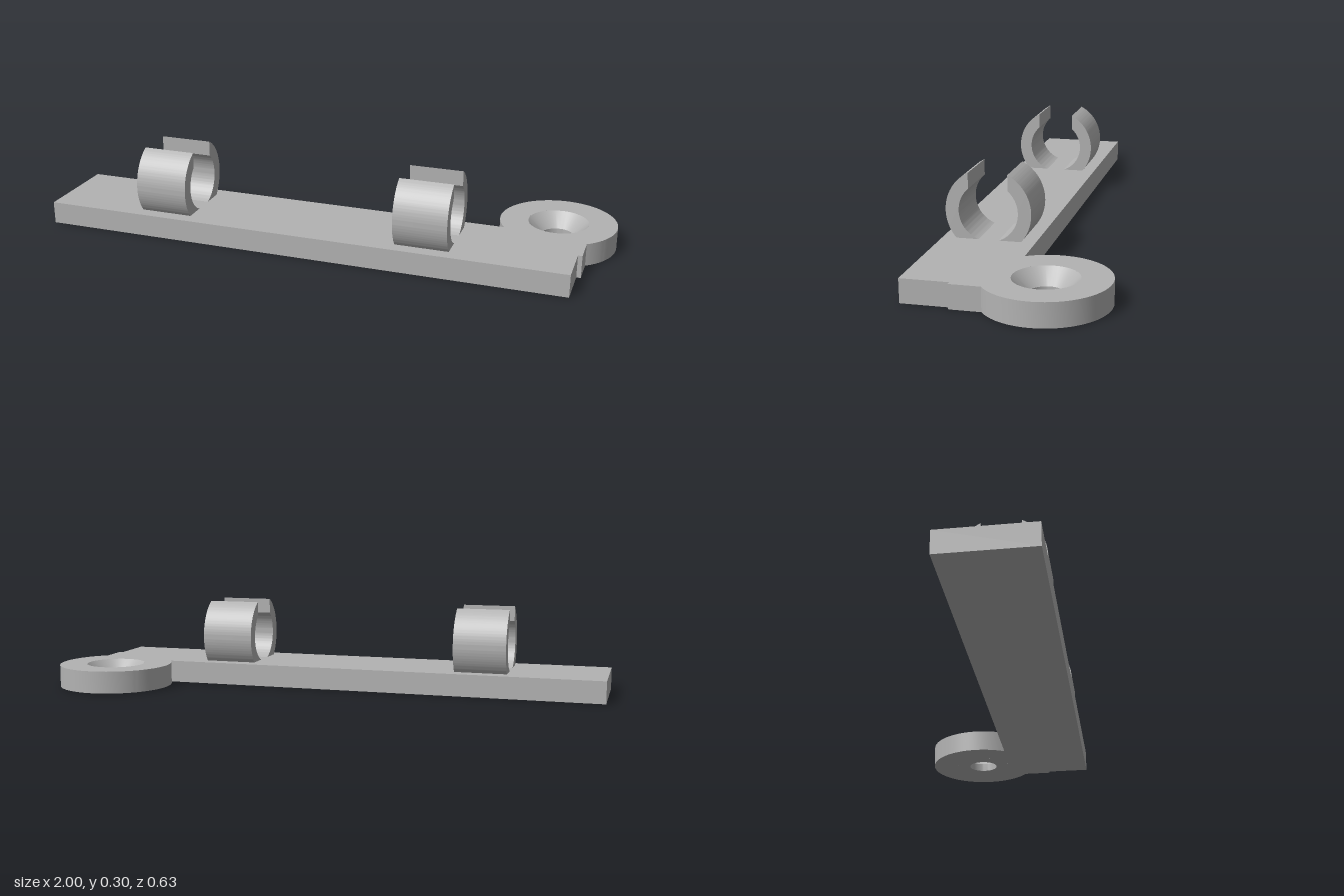
import * as THREE from 'three';
import { toCreasedNormals } from 'three/addons/utils/BufferGeometryUtils.js';

const THICK = 0.08;
const EYE = { x: 0.794, z: -0.112, r: 0.206, sink: 0.106, bore: 0.056 };
const CLIP = { y: 0.175, z: 0.159, outer: 0.146, inner: 0.101, gap: 0.067, width: 0.189 };

const extrude = (shape, depth) => toCreasedNormals(
  new THREE.ExtrudeGeometry(shape, { depth, bevelEnabled: false, curveSegments: 48 }), 0.5);

// Bar, small step and round eye in one outline, drawn in x and -z
function plateGeometry() {
  const { x, z, r, sink } = EYE;
  const stepX = 0.915;
  const start = -Math.acos((stepX - x) / r);
  const end = Math.PI + Math.asin(-z / r);
  const s = new THREE.Shape();
  s.moveTo(-1, -0.317);
  s.lineTo(0.9, -0.317);
  s.lineTo(0.9, -0.157);
  s.lineTo(stepX, -0.157);
  s.absarc(x, -z, r, start, end, false);
  s.lineTo(-1, 0);
  s.closePath();
  const hole = new THREE.Path();
  hole.absarc(x, -z, sink, 0, Math.PI * 2, true);
  s.holes.push(hole);
  return extrude(s, THICK).rotateX(-Math.PI / 2);
}

// Countersunk lining of the screw hole
function countersinkGeometry() {
  const { sink, bore } = EYE;
  const profile = [[sink, THICK], [bore, 0.03], [bore, 0], [sink, 0]]
    .map(([r, y]) => new THREE.Vector2(r, y));
  return toCreasedNormals(new THREE.LatheGeometry(profile, 48), 0.5);
}

// One curved jaw, cut level at the plate and upright at the opening
function jawGeometry(mirrored) {
  const { y, outer, inner, gap, width } = CLIP;
  const drop = THICK - y;
  const turn = (a) => (mirrored ? Math.PI - a : a);
  const s = new THREE.Shape();
  s.absarc(0, 0, outer, turn(Math.asin(drop / outer)), turn(Math.acos(gap / outer)), mirrored);
  s.absarc(0, 0, inner, turn(Math.acos(gap / inner)), turn(Math.asin(drop / inner)), !mirrored);
  s.closePath();
  return extrude(s, width).translate(0, 0, -width / 2).rotateY(Math.PI / 2);
}

export function createModel() {
  const grey = new THREE.MeshStandardMaterial({ color: 0xb3b3b3 });
  grey.name = 'grey';
  const model = new THREE.Group();
  model.name = 'clipBracket';
  const add = (parent, name, geometry) => {
    const mesh = new THREE.Mesh(geometry, grey);
    mesh.name = name;
    parent.add(mesh);
    return mesh;
  };

  add(model, 'basePlate', plateGeometry());
  add(model, 'countersunkHole', countersinkGeometry()).position.set(EYE.x, 0, EYE.z);

  // Two open clips along the bar
  const jaws = { backJaw: jawGeometry(false), frontJaw: jawGeometry(true) };
  for (const [name, x] of [['rightClip', -0.558], ['leftClip', 0.394]]) {
    const clip = new THREE.Group();
    clip.name = name;
    clip.position.set(x, CLIP.y, CLIP.z);
    for (const [jaw, geometry] of Object.entries(jaws)) add(clip, jaw, geometry);
    model.add(clip);
  }
  return model;
}
